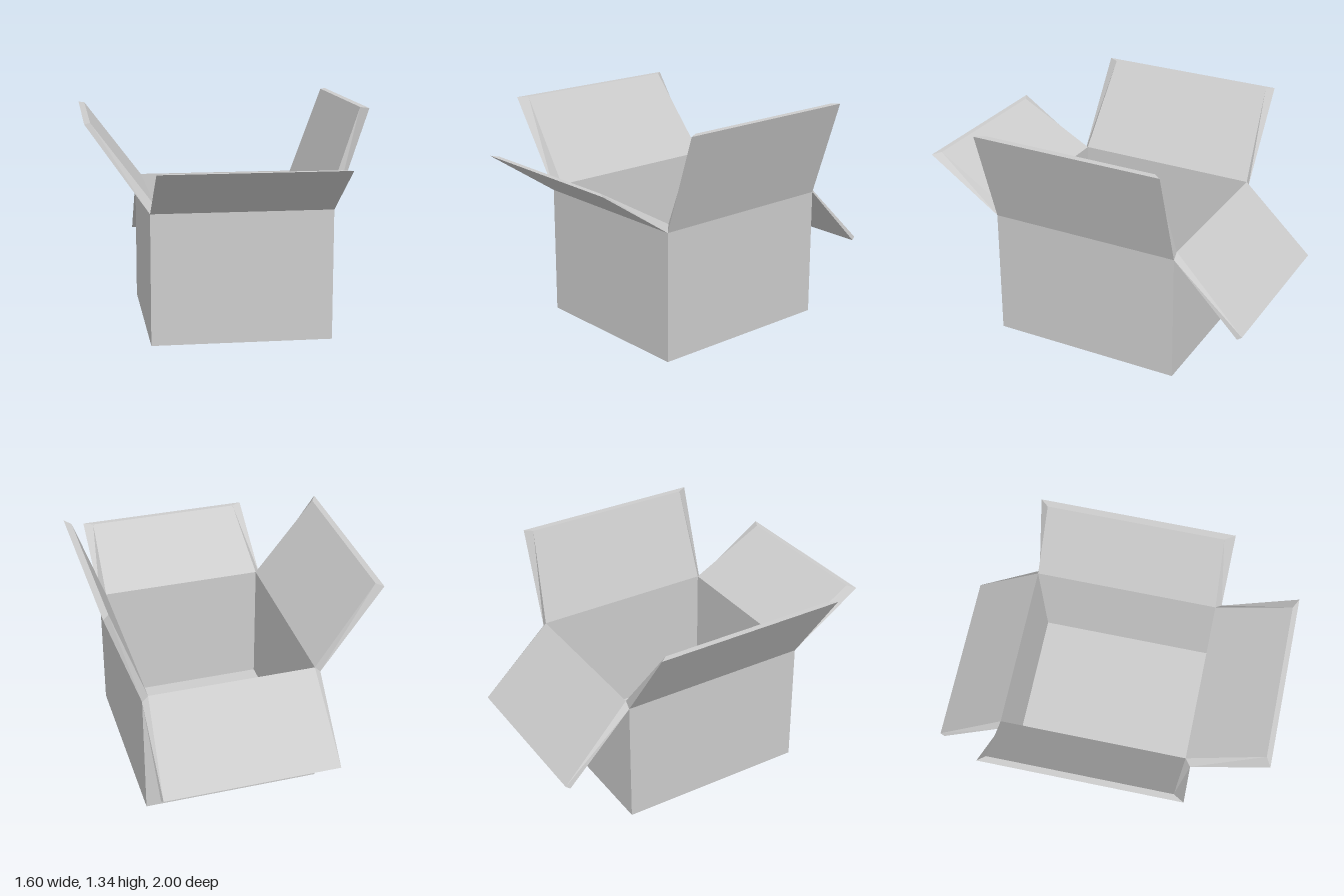
import * as THREE from 'three';

// Flat-shaded mesh from a list of four-cornered faces
function quadMesh(name, quads, material) {
  const points = [];
  for (const [a, b, c, d] of quads) points.push(...a, ...b, ...c, ...a, ...c, ...d);
  const geometry = new THREE.BufferGeometry();
  geometry.setAttribute('position', new THREE.Float32BufferAttribute(points, 3));
  geometry.computeVertexNormals();
  const mesh = new THREE.Mesh(geometry, material);
  mesh.name = name;
  return mesh;
}

// Four corners at one height: front -x, front +x, back +x, back -x
const ring = (x0, x1, z0, z1, y) => [[x0, y, z1], [x1, y, z1], [x1, y, z0], [x0, y, z0]];

export function createModel() {
  const group = new THREE.Group();
  group.name = 'openBox';
  const card = new THREE.MeshStandardMaterial({ color: 0xcccccc });
  card.name = 'light grey card';

  const base = ring(-0.445, 0.605, -0.585, 0.56, 0);
  const outerRim = ring(-0.445, 0.605, -0.585, 0.56, 0.765);
  const floor = ring(-0.41, 0.57, -0.56, 0.525, 0.035);
  const innerRim = ring(-0.41, 0.57, -0.585, 0.525, 0.8);

  // Outer shell with underside, and the lining with its floor
  const shell = [[...base].reverse()];
  const lining = [floor];
  for (let i = 0; i < 4; i++) {
    const j = (i + 1) % 4;
    shell.push([base[i], base[j], outerRim[j], outerRim[i]]);
    lining.push([floor[j], floor[i], innerRim[i], innerRim[j]]);
  }
  group.add(quadMesh('outerWalls', shell, card), quadMesh('innerWalls', lining, card));

  // Flap tips: outer pair of corners, then inner pair
  const flaps = [
    ['frontFlap', [-0.445, 1.06, 1], [0.605, 1.06, 1], [-0.387, 1.06, 0.97], [0.547, 1.06, 0.97]],
    ['leftFlap', [0.795, 1.34, 0.56], [0.795, 1.34, -0.585], [0.757, 1.34, 0.5], [0.757, 1.34, -0.54]],
    ['backFlap', [0.605, 0.367, -0.975], [-0.445, 0.367, -0.975], [0.597, 0.383, -1], [-0.437, 0.383, -1]],
    ['rightFlap', [-0.8, 1.275, -0.585], [-0.8, 1.275, 0.56], [-0.765, 1.275, -0.54], [-0.765, 1.275, 0.5]],
  ];

  // Each flap tapers out from one side of the two rims
  flaps.forEach(([name, outA, outB, inA, inB], i) => {
    const j = (i + 1) % 4;
    group.add(quadMesh(name, [
      [outerRim[i], outerRim[j], outB, outA],
      [innerRim[j], innerRim[i], inA, inB],
      [outerRim[i], outA, inA, innerRim[i]],
      [outerRim[j], innerRim[j], inB, outB],
      [outA, outB, inB, inA],
    ], card));
  });
  return group;
}
